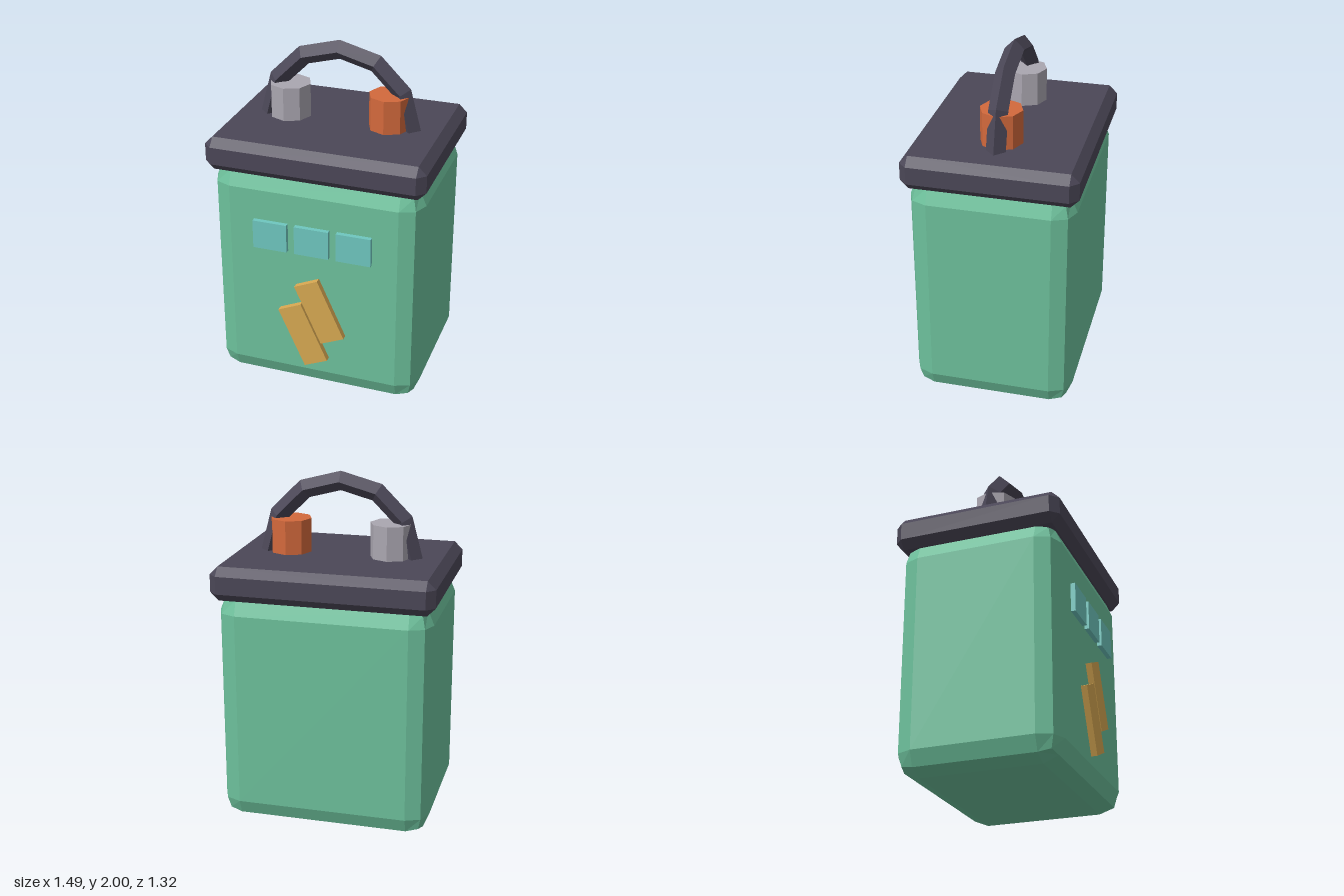
import * as THREE from 'three';
import { RoundedBoxGeometry } from 'three/addons/geometries/RoundedBoxGeometry.js';
import { ConvexGeometry } from 'three/addons/geometries/ConvexGeometry.js';

function flat(name, color) {
  const m = new THREE.MeshStandardMaterial({ color, flatShading: true });
  m.name = name;
  return m;
}

// Box with a single flat chamfer on every edge and triangular corners
function chamferBox(w, h, d, c) {
  const pts = [];
  for (const x of [-w / 2, w / 2]) for (const y of [-h / 2, h / 2]) for (const z of [-d / 2, d / 2]) {
    const ix = x - Math.sign(x) * c, iy = y - Math.sign(y) * c, iz = z - Math.sign(z) * c;
    pts.push(new THREE.Vector3(x, iy, iz), new THREE.Vector3(ix, y, iz), new THREE.Vector3(ix, iy, z));
  }
  return new ConvexGeometry(pts);
}

export function createModel() {
  const model = new THREE.Group();
  model.name = 'battery';
  const body = new THREE.Group();
  body.name = 'turnedBattery';
  body.rotation.y = THREE.MathUtils.degToRad(20);
  model.add(body);

  const green = flat('casing green', 0x6dc19c);
  const dark = flat('lid charcoal', 0x4b4757);
  const teal = flat('cell teal', 0x6fc7bf);
  const gold = flat('bolt gold', 0xd7a852);
  const copper = flat('terminal orange', 0xd3693c);
  const grey = flat('terminal grey', 0xaaa6b0);

  function add(name, geometry, material, x, y, z) {
    const mesh = new THREE.Mesh(geometry, material);
    mesh.name = name;
    mesh.position.set(x, y, z);
    body.add(mesh);
    return mesh;
  }

  // Casing and overhanging lid
  add('casing', new RoundedBoxGeometry(1.22, 1.37, 0.93, 1, 0.12), green, 0, 0.685, 0);
  add('lid', chamferBox(1.264, 0.195, 0.98, 0.047), dark, 0, 1.4275, 0);

  // Carry handle: half ring with a diamond section
  add('handle', new THREE.TorusGeometry(0.42, 0.055, 4, 6, Math.PI), dark, 0, 1.525, 0);

  // Octagonal terminals
  const terminal = new THREE.CylinderGeometry(0.12, 0.12, 0.22, 8);
  add('leftTerminal', terminal, copper, 0.293, 1.61, 0);
  add('rightTerminal', terminal, grey, -0.293, 1.61, 0);

  // Row of charge cells on the front
  for (const i of [-1, 0, 1]) {
    add('chargeCell', new THREE.BoxGeometry(0.2, 0.17, 0.04), teal, i * 0.245, 0.985, 0.472);
  }

  // Bolt made of two staggered slanted bars
  for (const [name, x, y] of [['upperBoltBar', 0.046, 0.544], ['lowerBoltBar', -0.054, 0.372]]) {
    add(name, new THREE.BoxGeometry(0.15, 0.385, 0.05), gold, x, y, 0.475).rotation.z = 0.42;
  }

  return model;
}
